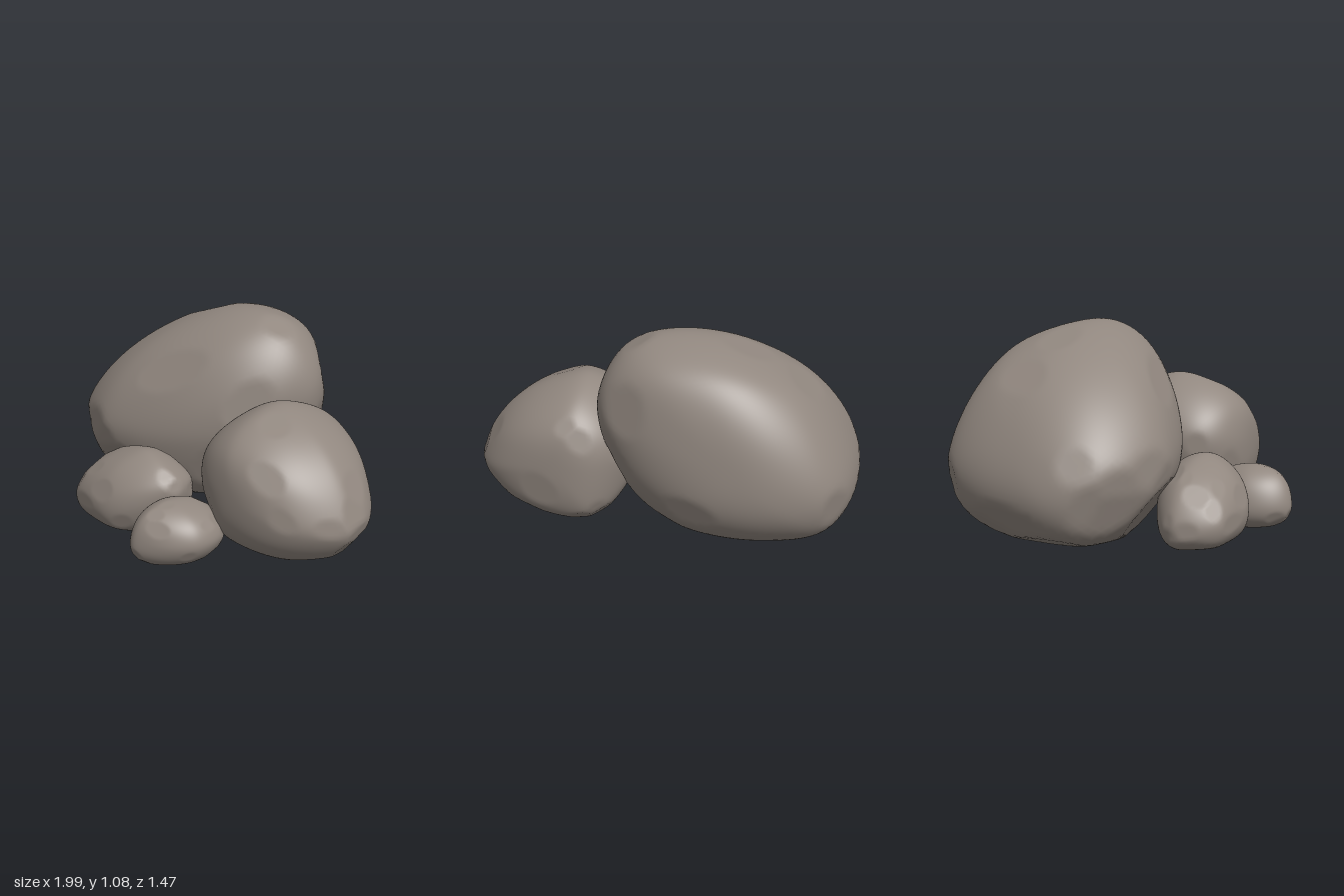
import * as THREE from 'three';
import { mergeVertices } from 'three/addons/utils/BufferGeometryUtils.js';

// Small seeded random number generator
function seeded(seed) {
  let s = seed * 7919 + 17;
  return () => (s = (s * 16807) % 2147483647) / 2147483647;
}

// Lowest and highest coordinate of a few outline points
function range(points, axis) {
  const values = points.map((p) => p[axis]);
  return [Math.min(...values), Math.max(...values)];
}

// Smooth closed outline through a few points, kept within their limits
function smoothOutline(points) {
  const curve = new THREE.CatmullRomCurve3(points.map(([u, v]) => new THREE.Vector3(u, v, 0)), true);
  const [u, v] = [range(points, 0), range(points, 1)];
  return curve.getPoints(30).slice(0, -1).map((p) => [
    THREE.MathUtils.clamp(p.x, ...u), THREE.MathUtils.clamp(p.y, ...v)]);
}

// Turn an outline into planes that face away from the centre
function outlinePlanes(points, a, b, centre) {
  const c = [centre.getComponent(a), centre.getComponent(b)];
  const outline = smoothOutline(points);
  return outline.map((p, i) => {
    const q = outline[(i + 1) % outline.length];
    let u = q[1] - p[1], v = p[0] - q[0];
    const outward = u * (p[0] - c[0]) + v * (p[1] - c[1]) < 0 ? -1 : 1;
    const scale = outward / Math.hypot(u, v);
    u *= scale;
    v *= scale;
    const target = Math.max(...outline.map((r) => u * (r[0] - c[0]) + v * (r[1] - c[1])));
    const n = new THREE.Vector3().setComponent(a, u).setComponent(b, v);
    return { n, target, h: target };
  });
}

// How far the points reach in a direction
const reach = (points, n) => points.reduce((m, p) => Math.max(m, p.dot(n)), 0.001);

// Boulder from its front [x,y], side [z,y] and top [x,z] outlines.
// chips are worn faces: a direction and the share of the depth left there.
function boulderGeometry({ front, side, top, chips, seed }) {
  const centre = new THREE.Vector3(
    ...[range(front, 0), range(front, 1), range(top, 1)].map(([lo, hi]) => (lo + hi) / 2));
  const outlines = [
    outlinePlanes(front, 0, 1, centre),
    outlinePlanes(side, 2, 1, centre),
    outlinePlanes(top, 0, 2, centre),
  ];

  const sphere = new THREE.IcosahedronGeometry(1, 24);
  sphere.deleteAttribute('normal');
  sphere.deleteAttribute('uv');
  const geometry = mergeVertices(sphere);
  const position = geometry.attributes.position;
  const directions = [];
  for (let i = 0; i < position.count; i++) {
    directions.push(new THREE.Vector3().fromBufferAttribute(position, i).normalize());
  }

  // Worn faces: the given ones and a scatter of shallow ones
  const random = seeded(seed);
  const cuts = chips.map(([x, y, z, k]) => ({ n: new THREE.Vector3(x, y, z).normalize(), k }));
  for (let i = 0; i < 24; i++) {
    const y = random() * 2 - 1, t = random() * Math.PI * 2, s = Math.sqrt(1 - y * y);
    cuts.push({ n: new THREE.Vector3(s * Math.cos(t), y, s * Math.sin(t)), k: 0.97 + random() * 0.015 });
  }

  // Rounded body, its planes refined until the silhouettes meet the outlines
  let points;
  for (let step = 0; step < 14; step++) {
    points = directions.map((d) => {
      let total = 0;
      for (const planes of outlines) {
        let sum = 0;
        for (const { n, h } of planes) sum += Math.max(0, n.dot(d) / h) ** 16;
        total += sum ** (2.7 / 16);
      }
      return d.clone().multiplyScalar((total / 2) ** (-1 / 2.7));
    });
    for (const { n, k } of cuts) {
      const limit = reach(points, n) * k;
      for (const p of points) {
        const depth = p.dot(n);
        if (depth > limit) p.multiplyScalar(limit / depth);
      }
    }
    for (const plane of outlines.flat()) {
      const h = plane.h * (plane.target / reach(points, plane.n)) ** 0.6;
      plane.h = THREE.MathUtils.clamp(h, plane.target * 0.75, plane.target * 1.35);
    }
  }

  points.forEach((p, i) => position.setXYZ(i, ...p.add(centre)));
  geometry.computeVertexNormals();
  return geometry;
}

export function createModel() {
  const group = new THREE.Group();
  group.name = 'boulderPile';
  const stone = new THREE.MeshStandardMaterial({ color: 0x91877f });
  stone.name = 'stone';

  function addBoulder(name, shape) {
    const mesh = new THREE.Mesh(boulderGeometry(shape), stone);
    mesh.name = name;
    group.add(mesh);
  }

  // Tall leaning boulder, undercut at the front
  addBoulder('largeBoulder', {
    seed: 3,
    front: [[-1, .33], [-.89, .09], [-.6, .02], [-.2, .03], [.1, .16], [.345, .66], [.22, .99], [-.04, 1.08],
      [-.5, .97], [-.85, .68]],
    side: [[-.735, .38], [-.6, .14], [-.35, .03], [0, .02], [.25, .09], [.44, .46], [.17, .88], [-.2, 1.08],
      [-.47, 1.02], [-.6, .94]],
    top: [[-1, 0], [-.92, -.45], [-.82, -.64], [-.4, -.74], [.2, -.53], [.345, -.3], [.15, .12], [-.4, .43],
      [-.5, .435], [-.87, .3]],
    chips: [[.2, -.6, .75, .91]],
  });

  // Blocky boulder beside it
  addBoulder('mediumBoulder', {
    seed: 8,
    front: [[.12, .42], [.22, .64], [.43, .765], [.77, .63], [.95, .42], [1, .28], [.85, .09], [.6, .02], [.3, .04]],
    side: [[.375, .4], [.33, .15], [.1, .025], [-.2, .02], [-.38, .12], [-.405, .3], [-.36, .6], [-.13, .745],
      [0, .765], [.31, .63]],
    top: [[.12, .08], [.2, .28], [.42, .375], [.8, .29], [1, 0], [.88, -.25], [.5, -.405], [.3, -.36], [.15, -.15]],
    chips: [[-.5, -.5, .7, .94], [.5, .5, .7, .97]],
  });

  // Low oval boulder in front
  addBoulder('smallBoulder', {
    seed: 14,
    front: [[-.52, .13], [-.4, .33], [-.08, .44], [.14, .33], [.145, .24], [.02, .04], [-.2, .005], [-.46, .03]],
    side: [[.69, .15], [.63, .31], [.42, .44], [.25, .35], [.2, .18], [.32, .01], [.5, .005], [.64, .04]],
    top: [[-.52, .48], [-.38, .68], [-.08, .66], [.13, .48], [.155, .37], [.03, .21], [-.2, .23], [-.45, .36]],
    chips: [[.1, .4, .9, .97]],
  });

  // Smallest round stone
  addBoulder('pebble', {
    seed: 21,
    front: [[.09, .12], [.14, .26], [.27, .33], [.45, .26], [.5, .15], [.42, .04], [.22, 0], [.12, .04]],
    side: [[.735, .13], [.67, .28], [.5, .33], [.33, .27], [.28, .15], [.34, .03], [.52, 0], [.69, .04]],
    top: [[.09, .52], [.16, .68], [.26, .735], [.45, .61], [.5, .49], [.45, .32], [.3, .27], [.15, .34]],
    chips: [[.5, .5, .7, .97]],
  });

  return group;
}
